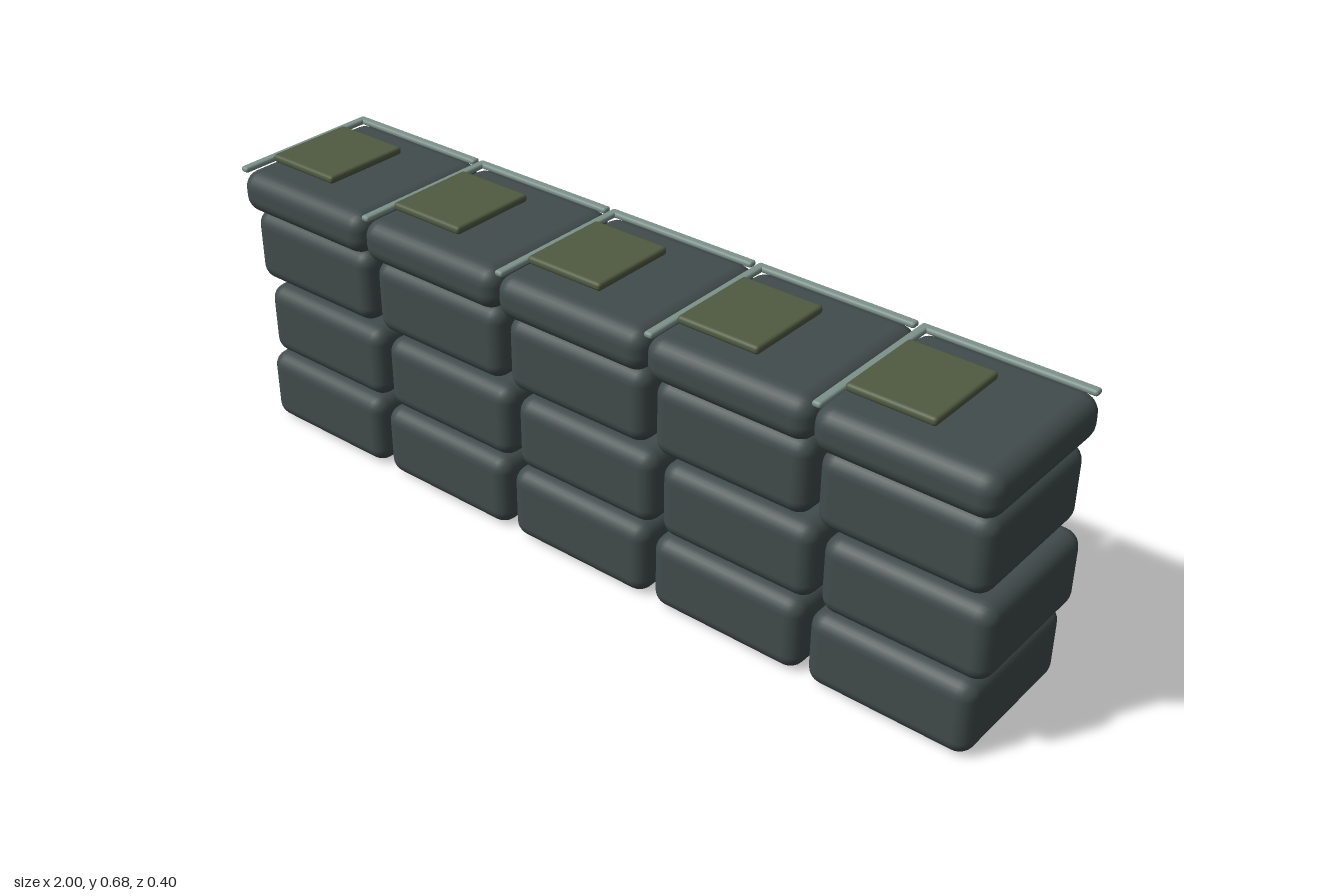
import * as THREE from 'three';
import { RoundedBoxGeometry } from 'three/addons/geometries/RoundedBoxGeometry.js';

function material(name, color) {
  const m = new THREE.MeshStandardMaterial({ color });
  m.name = name;
  return m;
}

export function createModel() {
  const slate = material('dark slate', 0x424c4c);
  const edge = material('pale grey green', 0x7d938b);
  const moss = material('moss green', 0x505b41);

  const blockGeo = new RoundedBoxGeometry(0.38, 0.177, 0.355, 3, 0.037);
  const capGeo = new RoundedBoxGeometry(0.398, 0.1, 0.398, 3, 0.04);
  const backStripGeo = new RoundedBoxGeometry(0.387, 0.0135, 0.021, 2, 0.006);
  const sideStripGeo = new RoundedBoxGeometry(0.021, 0.0135, 0.382, 2, 0.006);
  const patchGeo = new RoundedBoxGeometry(0.199, 0.019, 0.221, 2, 0.008);

  const wall = new THREE.Group();
  wall.name = 'blockWall';

  // Five identical stacks side by side
  for (let i = 0; i < 5; i++) {
    const stack = new THREE.Group();
    stack.name = `stack${i + 1}`;
    stack.position.x = -0.801 + i * 0.397;
    wall.add(stack);

    const add = (name, geo, mat, x, y, z = 0) => {
      const mesh = new THREE.Mesh(geo, mat);
      mesh.name = name;
      mesh.position.set(x, y, z);
      stack.add(mesh);
    };

    // Three courses, the middle one shifted sideways
    for (let row = 0; row < 3; row++) {
      add(`block${row + 1}`, blockGeo, slate, row === 1 ? 0.02 : 0, 0.0895 + row * 0.1907);
    }

    // Overhanging cap with edge strips and a moss patch
    add('capStone', capGeo, slate, 0, 0.612);
    add('backEdgeStrip', backStripGeo, edge, -0.002, 0.6655, -0.181);
    add('sideEdgeStrip', sideStripGeo, edge, -0.187, 0.6655);
    add('mossPatch', patchGeo, moss, -0.08, 0.6695);
  }
  return wall;
}
